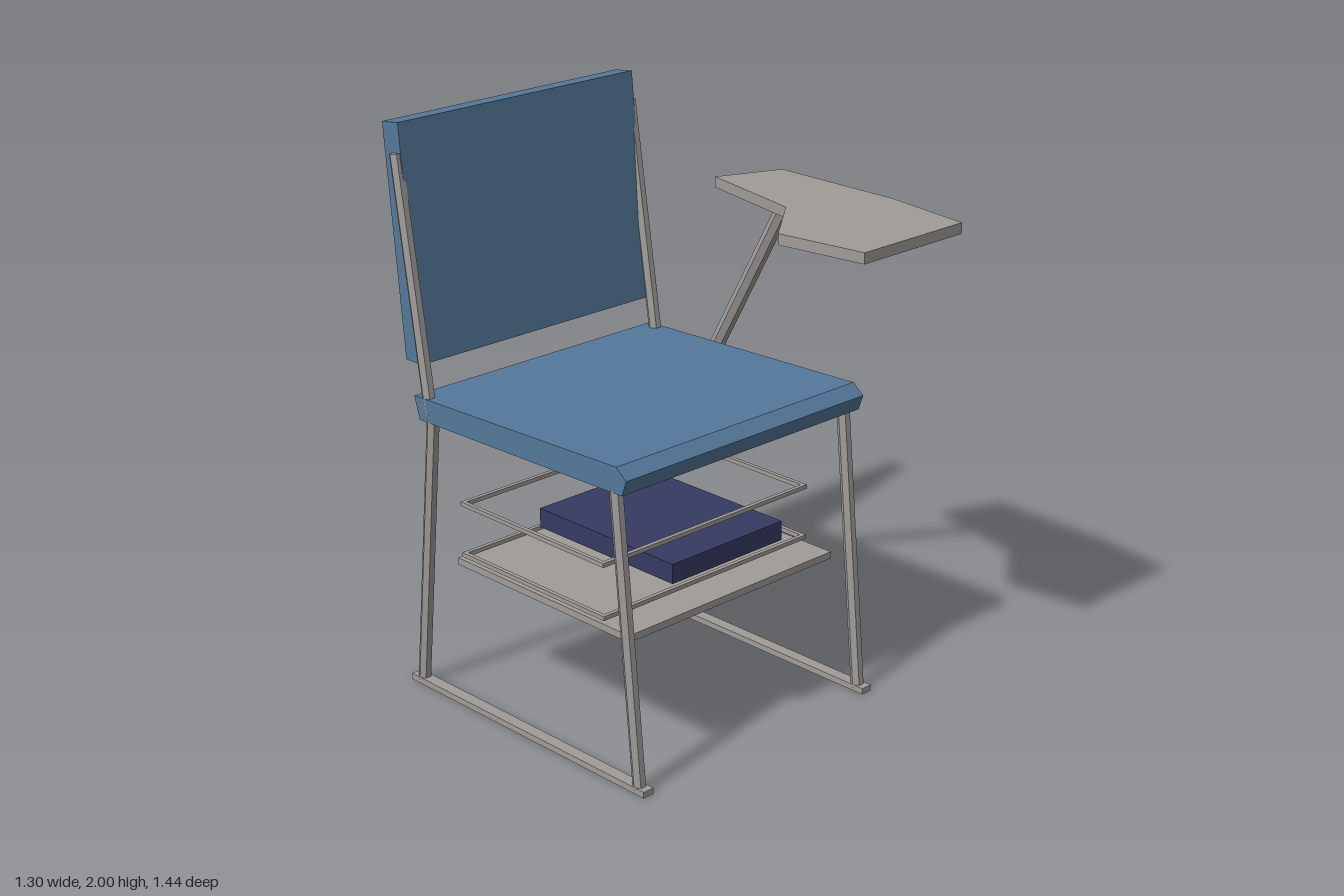
import * as THREE from 'three';

const mat = (name, color) => Object.assign(new THREE.MeshStandardMaterial({ color }), { name });

export function createModel() {
  const blue = mat('blue plastic', 0x54789a);
  const grey = mat('grey metal', 0x9f9c98);
  const navy = mat('navy cover', 0x363a62);

  const model = new THREE.Group();
  model.name = 'tabletArmChair';

  const add = (name, geometry, material, parent = model) => {
    const mesh = new THREE.Mesh(geometry, material);
    mesh.name = name;
    parent.add(mesh);
    return mesh;
  };

  const shapeOf = (points) => new THREE.Shape(points.map(([a, b]) => new THREE.Vector2(a, b)));
  const extrude = (points, depth) =>
    new THREE.ExtrudeGeometry(shapeOf(points), { depth, bevelEnabled: false });

  // Side profile of (z, y) points swept across from x0 to x1
  const sweepX = (points, x0, x1) =>
    extrude(points, x1 - x0).rotateY(-Math.PI / 2).translate(x1, 0, 0);

  // Box given by its limits on each axis
  const boxOf = (x0, x1, y0, y1, z0, z1) =>
    new THREE.BoxGeometry(x1 - x0, y1 - y0, z1 - z0)
      .translate((x0 + x1) / 2, (y0 + y1) / 2, (z0 + z1) / 2);

  // Six-sided tube between two (y, z) points at a given x
  const tube = (x, [y0, z0], [y1, z1], radius) => {
    const a = new THREE.Vector3(x, y0, z0);
    const b = new THREE.Vector3(x, y1, z1);
    const dir = b.clone().sub(a);
    const turn = new THREE.Quaternion()
      .setFromUnitVectors(new THREE.Vector3(0, 1, 0), dir.clone().normalize());
    const mid = a.add(b).multiplyScalar(0.5);
    return new THREE.CylinderGeometry(radius, radius, dir.length(), 6)
      .rotateY(Math.PI / 6)
      .applyQuaternion(turn)
      .translate(mid.x, mid.y, mid.z)
      .toNonIndexed();
  };
  const addTube = (name, ...args) => {
    const geometry = tube(...args);
    geometry.computeVertexNormals(); // flat facets
    add(name, geometry, grey);
  };

  // Seat with a chamfered front edge, and the leaning backrest
  add('seat', sweepX([[0.46, 1.075], [0.415, 1.11], [-0.575, 1.08], [-0.55, 1.0], [0.44, 1.02]],
    -0.65, 0.437), blue);
  add('backrest', sweepX([[-0.637, 2.0], [-0.718, 1.99], [-0.638, 1.187], [-0.557, 1.187]],
    -0.628, 0.413), blue);

  // Legs, floor runners and back posts on both sides
  for (const [side, x] of [['right', -0.629], ['left', 0.414]]) {
    addTube(side + 'FrontLeg', x, [0.01, 0.49], [1.03, 0.39], 0.023);
    addTube(side + 'RearLeg', x, [0.01, -0.603], [1.03, -0.503], 0.023);
    addTube(side + 'BackPost', x, [1.02, -0.515], [1.895, -0.652], 0.023);
    add(side + 'Runner', boxOf(x - 0.022, x + 0.022, 0, 0.022, -0.647, 0.533), grey);
  }

  // Writing tablet and its slanted support, outline in (x, -z)
  add('writingTablet', extrude([
    [0.13, -0.72], [0.60, -0.72], [0.65, -0.38], [0.65, 0.13],
    [0.415, 0.225], [0.32, -0.20], [0.085, -0.39],
  ], 0.038).rotateX(-Math.PI / 2).translate(0, 1.661, 0), grey);
  addTube('tabletSupport', 0.508, [1.02, -0.318], [1.661, 0.037], 0.027);

  // Storage shelf with two wire rails above it
  const [x0, x1] = [-0.582, 0.366];
  add('shelf', boxOf(x0, x1, 0.48, 0.505, -0.455, 0.395), grey);
  const [z0, z1, t] = [-0.432, 0.277, 0.015];
  for (const [name, y] of [['lowerRail', 0.524], ['upperRail', 0.711]]) {
    const rail = new THREE.Group();
    rail.name = name;
    model.add(rail);
    const [lo, hi] = [y - t / 2, y + t / 2];
    add('frontWire', boxOf(x0, x1, lo, hi, z1 - t, z1), grey, rail);
    add('rearWire', boxOf(x0, x1, lo, hi, z0, z0 + t), grey, rail);
    add('rightWire', boxOf(x0, x0 + t, lo, hi, z0 + t, z1 - t), grey, rail);
    add('leftWire', boxOf(x1 - t, x1, lo, hi, z0 + t, z1 - t), grey, rail);
  }

  // Book lying in the rack
  add('book', boxOf(-0.25, 0.27, 0.533, 0.604, -0.408, 0.252), navy);

  return model;
}
